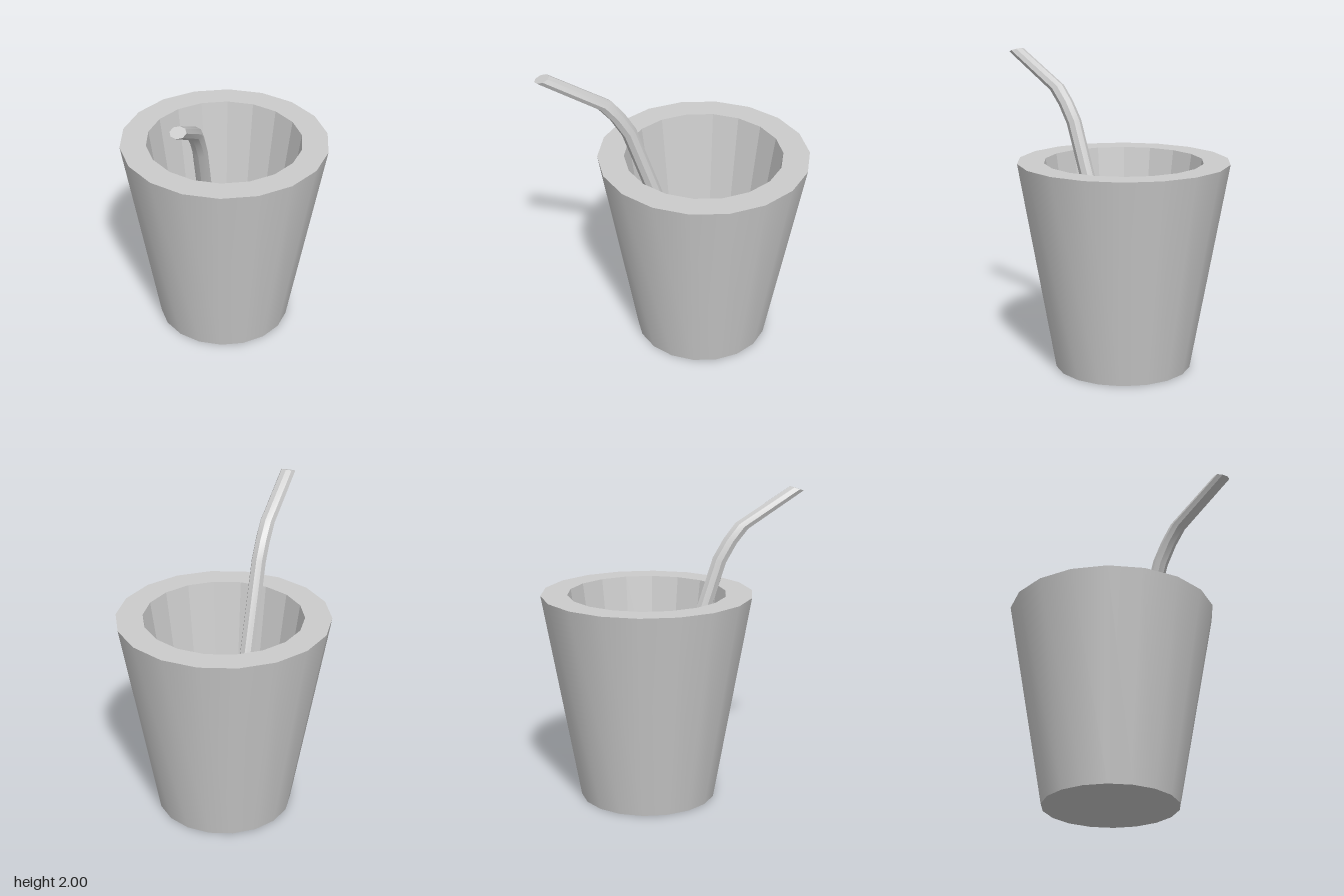
import * as THREE from 'three';
import { toCreasedNormals } from 'three/addons/utils/BufferGeometryUtils.js';

const SIDES = 18;
const grey = (flat = false) => new THREE.MeshStandardMaterial({ color: 0xcccccc, flatShading: flat });

// Revolve [radius, height] points, with a corner of the polygon on the x axis
function turned(name, points, flat) {
  const profile = points.map(([r, y]) => new THREE.Vector2(r, y));
  const geometry = new THREE.LatheGeometry(profile, SIDES, Math.PI / SIDES);
  const mesh = new THREE.Mesh(geometry, grey(flat));
  mesh.name = name;
  return mesh;
}

// Eight-sided rod through tilted rings, given as [z, y, tilt]
function bentRod(rings, radius, sides = 8) {
  const positions = [];
  const index = [];
  for (const [z, y, tilt] of rings) {
    for (let i = 0; i < sides; i++) {
      const a = (i / sides) * Math.PI * 2;
      const d = Math.cos(a) * radius;
      positions.push(Math.sin(a) * radius, y - d * Math.sin(tilt), z + d * Math.cos(tilt));
    }
  }
  for (let k = 0; k < rings.length - 1; k++) {
    for (let i = 0; i < sides; i++) {
      const a = k * sides + i;
      const b = k * sides + ((i + 1) % sides);
      index.push(a, b, b + sides, a, b + sides, a + sides);
    }
  }
  // End caps
  const last = (rings.length - 1) * sides;
  for (let i = 1; i < sides - 1; i++) {
    index.push(0, i + 1, i, last, last + i, last + i + 1);
  }
  const geometry = new THREE.BufferGeometry();
  geometry.setAttribute('position', new THREE.Float32BufferAttribute(positions, 3));
  geometry.setIndex(index);
  return toCreasedNormals(geometry, 0.6);
}

export function createModel() {
  const model = new THREE.Group();
  model.name = 'cupWithStraw';

  // Thick tapered cup
  const cup = new THREE.Group();
  cup.name = 'cup';
  cup.position.z = -0.19;
  cup.add(
    turned('outerWall', [[0.44, 0], [0.68, 1.35]], false),
    turned('base', [[0, 0], [0.44, 0]], true),
    turned('rimAndInside', [[0.68, 1.35], [0.51, 1.35], [0.4, 0.6], [0, 0.6]], true)
  );
  model.add(cup);

  // Drinking straw bending towards the front
  const straw = new THREE.Mesh(
    bentRod([
      [-0.035, 0.6, 0.32],
      [0.281, 1.546, 0.4],
      [0.353, 1.666, 0.35],
      [0.432, 1.761, 0.46],
      [0.806, 1.985, 0.32],
    ], 0.049),
    grey()
  );
  straw.name = 'straw';
  straw.position.x = -0.05;
  model.add(straw);

  return model;
}
